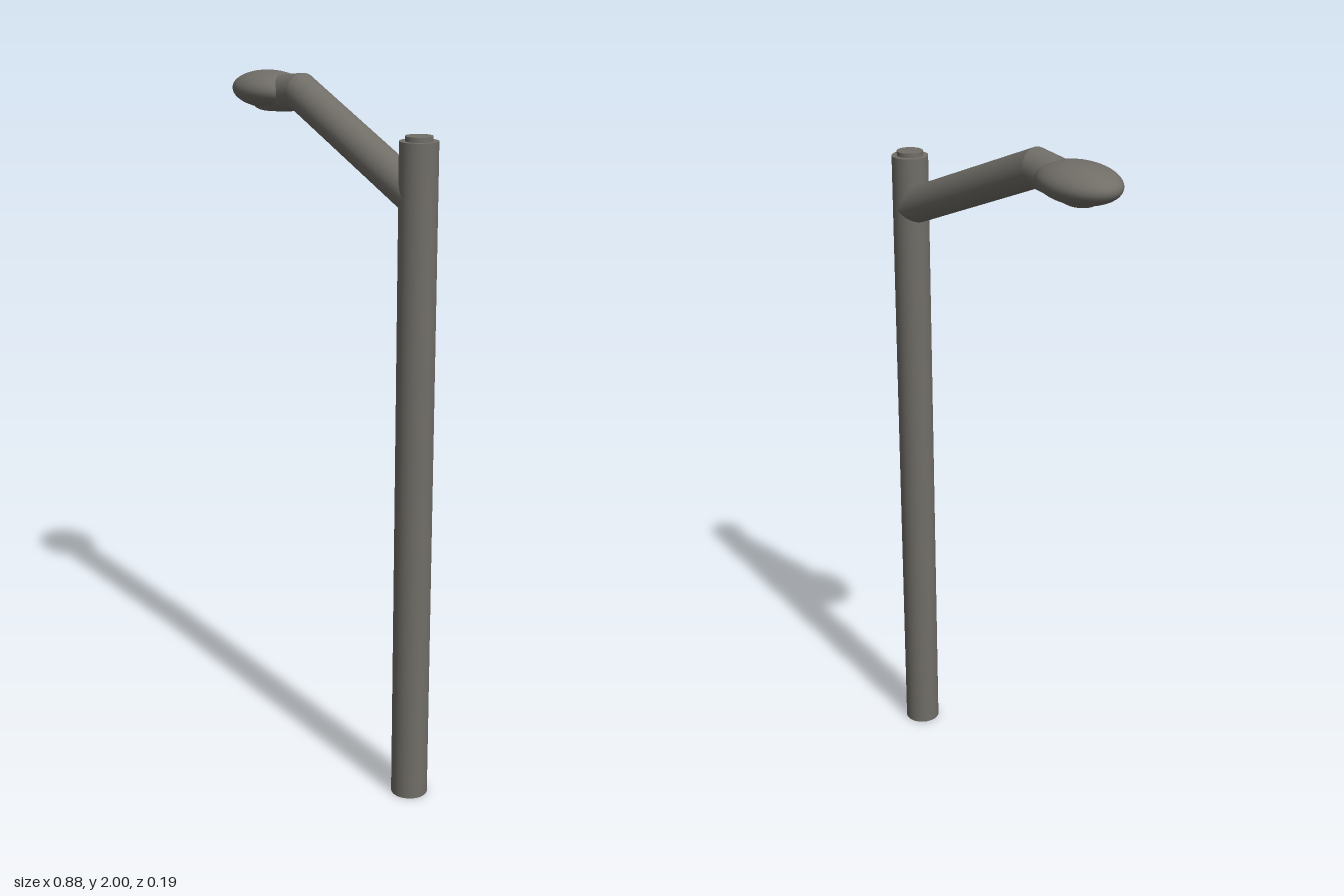
import * as THREE from 'three';

const R = 0.052;

// Round tube between two points in the XY plane; each end is cut along its own direction (mitre).
function mitredTube(a, b, cutA, cutB, material, name) {
  const axis = b.clone().sub(a).normalize();
  const side = new THREE.Vector2(-axis.y, axis.x);
  const geo = new THREE.CylinderGeometry(R, R, 1, 32, 1);
  const pos = geo.attributes.position;
  for (let i = 0; i < pos.count; i++) {
    const atB = pos.getY(i) > 0;
    const cut = atB ? cutB : cutA;
    const end = atB ? b : a;
    // cylinder local x runs along the cut so the section across the tube stays round
    const s = -pos.getX(i) / cut.dot(side);
    pos.setXYZ(i, end.x - cut.x * -s, end.y - cut.y * -s, pos.getZ(i));
  }
  geo.computeVertexNormals();
  // weld the normals across the cylinder's seam and keep them purely radial
  const nor = geo.attributes.normal;
  for (let i = 0; i < 66; i++) {
    const t = ((i % 33) / 32) * Math.PI * 2;
    const n = side.clone().multiplyScalar(-Math.sin(t));
    nor.setXYZ(i, n.x, n.y, Math.cos(t));
  }
  const mesh = new THREE.Mesh(geo, material);
  mesh.name = name;
  return mesh;
}

export function createModel() {
  const group = new THREE.Group();
  group.name = 'streetLamp';
  const metal = new THREE.MeshStandardMaterial({ color: 0x716e68 });
  metal.name = 'grey metal';
  const add = (geo, name, x, y) => {
    const mesh = new THREE.Mesh(geo, metal);
    mesh.name = name;
    mesh.position.set(x, y, 0);
    group.add(mesh);
    return mesh;
  };

  // Upright pole with a small stepped cap
  const poleX = 0.387;
  add(new THREE.CylinderGeometry(R, R, 1.875, 32), 'pole', poleX, 0.9375);
  add(new THREE.CylinderGeometry(0.037, 0.037, 0.03, 32), 'poleCap', poleX, 1.873);

  // Rising arm and the short neck that carries the head
  const root = new THREE.Vector2(poleX, 1.725);
  const bend = new THREE.Vector2(-0.148, 1.948);
  const tip = new THREE.Vector2(-0.26, 1.934);
  const d1 = bend.clone().sub(root).normalize();
  const d2 = tip.clone().sub(bend).normalize();
  const across = (d) => new THREE.Vector2(-d.y, d.x);
  const mitre = across(d1.clone().add(d2).normalize());
  group.add(mitredTube(root, bend, across(d1), mitre, metal, 'arm'));
  group.add(mitredTube(bend, tip, mitre, across(d2), metal, 'neck'));

  // Oval lamp head, cut flat underneath
  const headX = -0.308, headY = 1.942, ry = 0.053;
  const profile = [];
  const cutAngle = -1.05;
  for (let i = 0; i <= 20; i++) {
    const t = cutAngle + (Math.PI / 2 - cutAngle) * (i / 20);
    profile.push(new THREE.Vector2(Math.max(0, Math.cos(t)), Math.sin(t) * ry));
  }
  add(new THREE.LatheGeometry(profile, 40), 'lampHead', headX, headY).scale.set(0.132, 1, 0.095);

  // Flat underside and the shallow lens bulging from it
  const bottomY = headY + Math.sin(cutAngle) * ry;
  const rim = Math.cos(cutAngle);
  const under = new THREE.CircleGeometry(rim, 40).rotateX(Math.PI / 2);
  add(under, 'headUnderside', headX, bottomY).scale.set(0.132, 1, 0.095);
  const lens = [];
  for (let i = 0; i <= 8; i++) {
    const t = (Math.PI / 2) * (i / 8);
    lens.push(new THREE.Vector2(Math.sin(t) * rim * 0.85, -Math.cos(t) * 0.016));
  }
  add(new THREE.LatheGeometry(lens, 40), 'lens', headX, bottomY).scale.set(0.132, 1, 0.095);

  return group;
}
